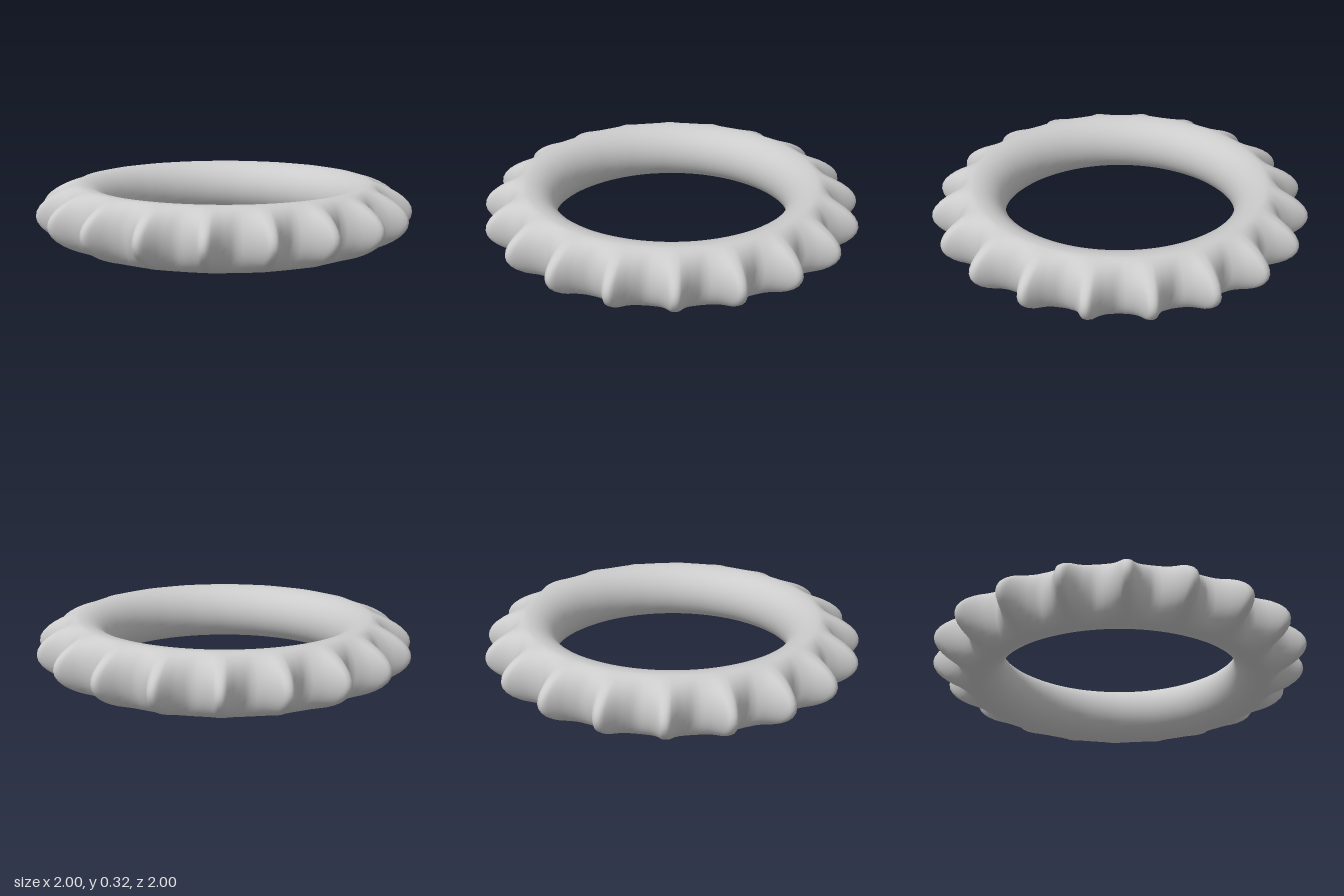
import * as THREE from 'three';

const TEETH = 20;
const HALF = 8;        // steps from tooth tip to valley
const AROUND = 36;     // steps around the tube section
const CORE = 0.78;     // radius of the tube's centre line
const TUBE = 0.16;     // tube radius (inner side and height)
const VALLEY = 0.87;   // outer radius between two teeth

// Half tooth outline: degrees away from the tip, outer radius
const halfTooth = new THREE.SplineCurve([
  [0, 1.012], [1.2, 1.005], [2.5, 0.965], [5, 0.907], [9, VALLEY],
].map(([d, r]) => new THREE.Vector2(d, r * 100)));

function toothedRingGeometry() {
  // One full tooth, valley to tip to (just before) the next valley
  const side = halfTooth.getPoints(HALF * 2).filter((p, i) => i % 2 === 0);
  const tooth = [
    ...side.slice().reverse().map((p) => [-p.x, p.y / 100]),
    ...side.slice(1, -1).map((p) => [p.x, p.y / 100]),
  ];

  const positions = [];
  for (let k = 0; k < TEETH; k++) {
    for (const [offset, outer] of tooth) {
      const angle = THREE.MathUtils.degToRad((k + 0.5) * (360 / TEETH) + offset);
      for (let j = 0; j < AROUND; j++) {
        const phi = (j / AROUND) * Math.PI * 2;
        const c = Math.cos(phi);
        // Round inside; the outside swells into the tooth
        const r = CORE + (c < 0
          ? TUBE * c
          : (VALLEY - CORE) * c + (outer - VALLEY) * c * c);
        positions.push(r * Math.sin(angle), TUBE + TUBE * Math.sin(phi), r * Math.cos(angle));
      }
    }
  }

  // Join neighbouring sections, closing both ways
  const rings = TEETH * tooth.length;
  const index = [];
  for (let i = 0; i < rings; i++) {
    for (let j = 0; j < AROUND; j++) {
      const a = i * AROUND + j;
      const b = ((i + 1) % rings) * AROUND + j;
      const c = ((i + 1) % rings) * AROUND + ((j + 1) % AROUND);
      const d = i * AROUND + ((j + 1) % AROUND);
      index.push(a, b, c, a, c, d);
    }
  }

  const geometry = new THREE.BufferGeometry();
  geometry.setAttribute('position', new THREE.Float32BufferAttribute(positions, 3));
  geometry.setIndex(index);
  geometry.computeVertexNormals();
  return geometry;
}

export function createModel() {
  const group = new THREE.Group();
  group.name = 'toothedRing';
  const ring = new THREE.Mesh(
    toothedRingGeometry(),
    new THREE.MeshStandardMaterial({ color: 0xcccccc }),
  );
  ring.name = 'ringWithTeeth';
  group.add(ring);
  return group;
}
